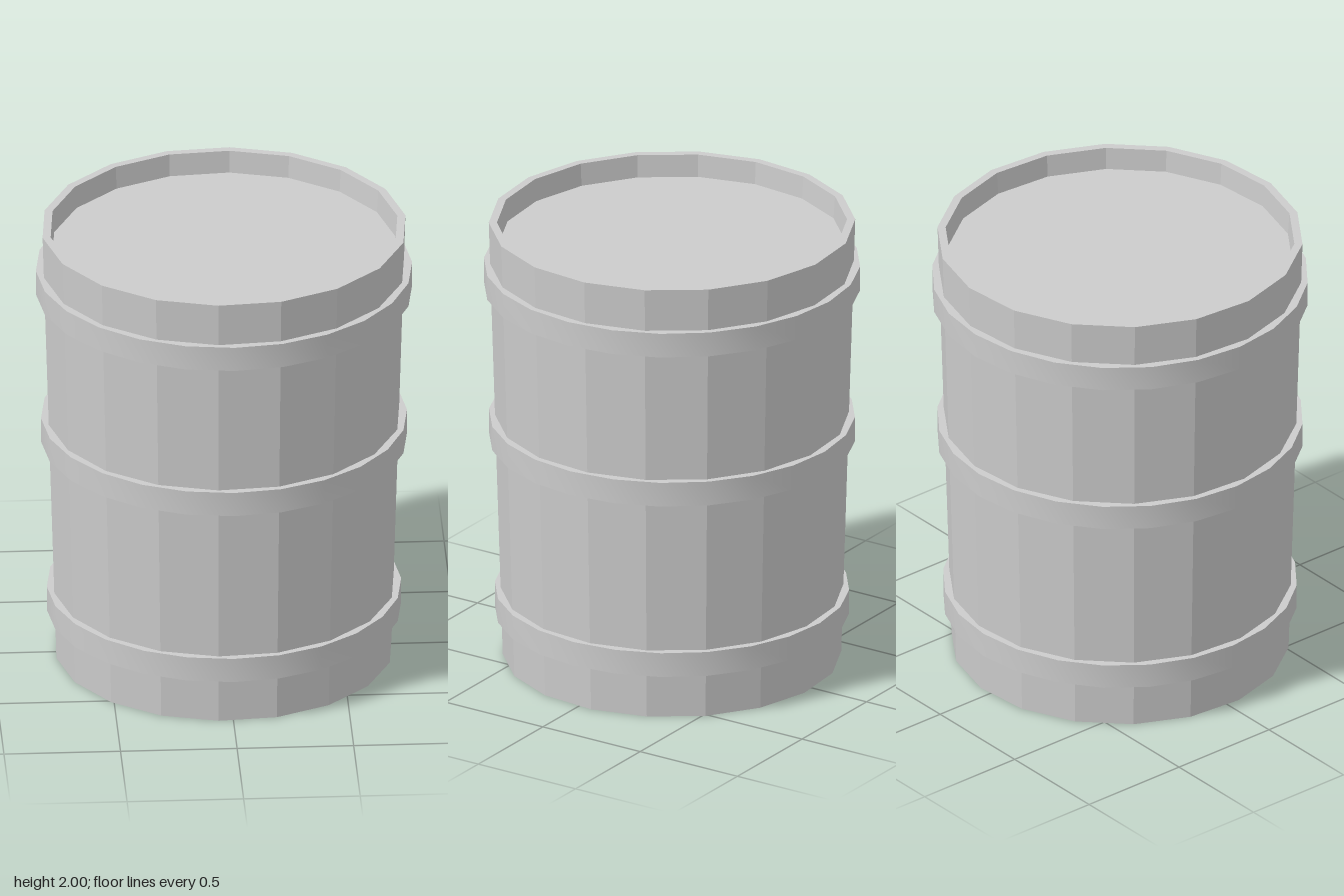
import * as THREE from 'three';
import { toCreasedNormals } from 'three/addons/utils/BufferGeometryUtils.js';

const STAVES = 18;
const START = THREE.MathUtils.degToRad(15);
const profile = (pts) => pts.map(([r, y]) => new THREE.Vector2(r, y));
const radiusAt = (y) => 0.725 + 0.03 * y; // tapered wall

export function createModel() {
  const model = new THREE.Group();
  const staveMaterial = new THREE.MeshStandardMaterial({
    color: 0xcccccc, flatShading: true, side: THREE.DoubleSide,
  });
  const bandMaterial = new THREE.MeshStandardMaterial({ color: 0xcccccc });

  const add = (name, geometry, material) => {
    const mesh = new THREE.Mesh(geometry, material);
    mesh.name = name;
    model.add(mesh);
    return mesh;
  };

  // Faceted tapered wall with a thick upper rim, open at the bottom
  add('staves', new THREE.LatheGeometry(profile([
    [radiusAt(0), 0], [radiusAt(2), 2], [0.75, 2], [0.743, 1.9],
  ]), STAVES, START), staveMaterial);

  // Recessed lid and base
  const lid = new THREE.CircleGeometry(0.743, STAVES, START - Math.PI / 2);
  add('lid', lid.rotateX(-Math.PI / 2), staveMaterial).position.y = 1.9;
  const base = new THREE.CircleGeometry(radiusAt(0.18), STAVES, Math.PI / 2 - START);
  add('base', base.rotateX(Math.PI / 2), staveMaterial).position.y = 0.18;

  // Three smooth hoops with sharp edges
  const hoops = [['lowerHoop', 0.76, 0.2], ['middleHoop', 0.785, 1.0], ['upperHoop', 0.807, 1.7]];
  for (const [name, r, y] of hoops) {
    const inner = r - 0.05;
    const ring = new THREE.LatheGeometry(profile([
      [inner, 0], [r, 0], [r, 0.11], [inner, 0.11], [inner, 0],
    ]), 24);
    add(name, toCreasedNormals(ring, Math.PI / 6), bandMaterial).position.y = y;
  }

  return model;
}
